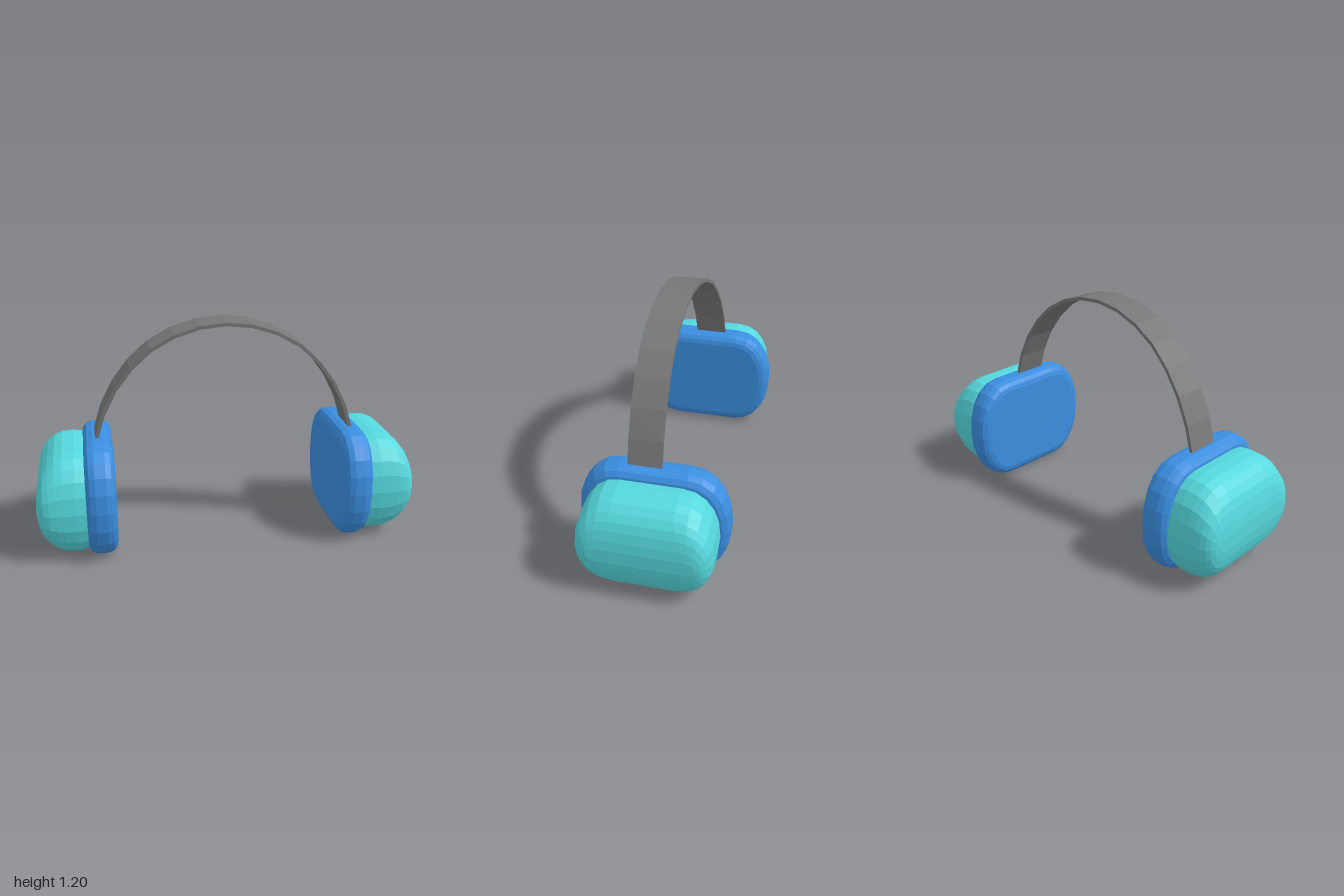
import * as THREE from 'three';

const mat = (color) => new THREE.MeshStandardMaterial({ color, flatShading: true });

// Rounded outline in the z/y plane: short straight top and bottom, elliptical ends.
function outline(hy, hz, flat, n = 5) {
  const pts = [];
  for (let q = 0; q < 4; q++) {
    const side = q === 0 || q === 3 ? 1 : -1;
    const first = q === 2 ? 1 : 0, last = q === 3 ? n - 1 : n;
    for (let k = first; k <= last; k++) {
      const a = (q + k / n) * Math.PI / 2;
      const c = Math.pow(Math.abs(Math.cos(a)), 0.92);
      const s = Math.sign(Math.sin(a)) * Math.pow(Math.abs(Math.sin(a)), 0.92);
      pts.push([hy * s, side * (flat + (hz - flat) * c)]);
    }
  }
  return pts;
}

// Skins rings [x, halfHeight, halfDepth, flat], listed outwards; side = 1 or -1 mirrors in x.
function loft(rings, cy, side) {
  const pos = [], index = [];
  const tri = (a, b, c) => (side > 0 ? index.push(a, b, c) : index.push(a, c, b));
  let n = 0;
  for (const [x, hy, hz, flat] of rings) {
    const loop = outline(hy, hz, flat);
    n = loop.length;
    for (const [y, z] of loop) pos.push(side * x, cy + y, z);
  }
  const end = rings.length - 1, c0 = pos.length / 3, c1 = c0 + 1;
  pos.push(side * rings[0][0], cy, 0, side * rings[end][0], cy, 0);
  for (let i = 0; i < n; i++) {
    const j = (i + 1) % n;
    for (let r = 0; r < end; r++) {
      const a = r * n + i, b = r * n + j;
      tri(a, a + n, b);
      tri(b, a + n, b + n);
    }
    tri(c0, i, j);
    tri(c1, end * n + j, end * n + i);
  }
  const g = new THREE.BufferGeometry();
  g.setAttribute('position', new THREE.Float32BufferAttribute(pos, 3));
  g.setIndex(index);
  g.computeVertexNormals();
  return g;
}

// Ear cushion: slab with a rounded rim, given as [x, inset].
const cushionRings = [
  [0.595, 0.055], [0.602, 0.03], [0.617, 0.01], [0.645, 0],
  [0.7, 0], [0.73, 0.012], [0.747, 0.035], [0.752, 0.07],
].map(([x, d]) => [x, 0.299 - d, 0.38 - d, 0.17]);

// Outer shell: tight rounding front and back, a soft bulge from top to bottom.
const shellRings = [
  [0.735, 0.262, 0.335, 0.15], [0.8, 0.272, 0.34, 0.15], [0.86, 0.268, 0.34, 0.15],
  [0.9, 0.252, 0.338, 0.15], [0.935, 0.222, 0.334, 0.15], [0.962, 0.188, 0.324, 0.16],
  [0.98, 0.147, 0.309, 0.18], [0.993, 0.095, 0.288, 0.19], [1.0, 0.04, 0.262, 0.2],
];

// Headband: a thin strip bent along an arch, drifting slightly in z.
function headbandGeometry() {
  const half = [
    [0.697, 0.55], [0.685, 0.604], [0.647, 0.729], [0.58, 0.863], [0.494, 0.978],
    [0.39, 1.075], [0.268, 1.144], [0.136, 1.187],
  ];
  const path = [
    ...half.map(([x, y]) => [-x, y]), [0, 1.201], ...half.slice().reverse(),
  ].map(([x, y]) => new THREE.Vector2(x, y));
  const n = path.length - 1;
  const g = new THREE.BoxGeometry(1, 0.018, 0.17, n, 1, 1);
  const p = g.attributes.position;
  for (let i = 0; i < p.count; i++) {
    const k = Math.round((p.getX(i) + 0.5) * n);
    const t = path[Math.min(k + 1, n)].clone().sub(path[Math.max(k - 1, 0)]).normalize();
    const off = p.getY(i) - 0.009, z = p.getZ(i), { x, y } = path[k];
    const drift = 0.044 + 0.043 * x - 0.055 * x * x;
    p.setXYZ(i, x - t.y * off, y + t.x * off - 0.03 * z, z + drift);
  }
  g.computeVertexNormals();
  return g;
}

export function createModel() {
  const model = new THREE.Group();
  model.name = 'headphones';
  const add = (parent, name, geometry, material) => {
    const mesh = new THREE.Mesh(geometry, material);
    mesh.name = name;
    parent.add(mesh);
  };
  const blue = mat(0x3a8ee0), teal = mat(0x55d8dd), grey = mat(0x777777);

  // Mirrored ear cups
  for (const [name, side] of [['left', 1], ['right', -1]]) {
    const cup = new THREE.Group();
    cup.name = name + 'EarCup';
    add(cup, name + 'Cushion', loft(cushionRings, 0.305, side), blue);
    add(cup, name + 'Shell', loft(shellRings, 0.293, side), teal);
    model.add(cup);
  }
  add(model, 'headband', headbandGeometry(), grey);
  return model;
}
